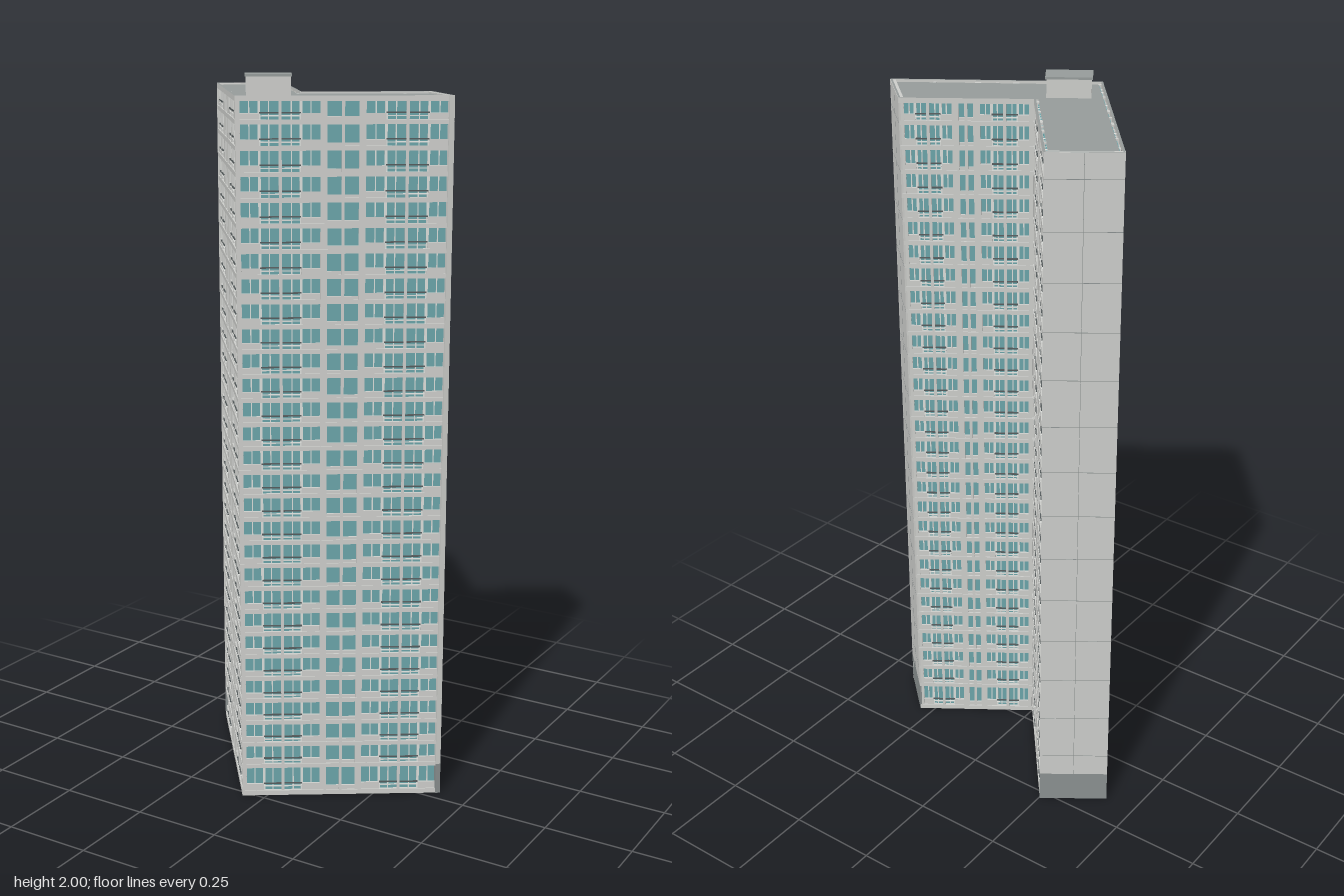
import * as THREE from 'three';
import { mergeGeometries } from 'three/addons/utils/BufferGeometryUtils.js';

const material = (name, color) => {
  const m = new THREE.MeshStandardMaterial({ color });
  m.name = name;
  return m;
};

// Plan corners [x, z], walked so the outside is always on the same hand
const PLAN = [[-0.41, -0.165], [-0.06, 0.27], [0.41, -0.035], [0.288, -0.15], [0, 0.042], [-0.252, -0.275]];
const GROUND = 0.09, FLOORS = 28, TOP = 1.95, DEPTH = 0.012;
const PITCH = (TOP - GROUND) / FLOORS;

// Moves every wall of the plan inward by d
function inset(d) {
  const n = PLAN.length;
  const normal = (i) => {
    const [a, b] = [PLAN[i % n], PLAN[(i + 1) % n]];
    return new THREE.Vector2(b[1] - a[1], a[0] - b[0]).normalize();
  };
  return PLAN.map(([x, z], i) => {
    const p = normal(i + n - 1), q = normal(i);
    const k = d / (1 + p.dot(q));
    return [x + (p.x + q.x) * k, z + (p.y + q.y) * k];
  });
}

function prism(plan, y0, y1, hole) {
  const points = (list) => list.map(([x, z]) => new THREE.Vector2(x, -z));
  const shape = new THREE.Shape(points(plan));
  if (hole) shape.holes.push(new THREE.Path(points(hole)));
  const g = new THREE.ExtrudeGeometry(shape, { depth: y1 - y0, bevelEnabled: false });
  return g.rotateX(-Math.PI / 2).translate(0, y0, 0);
}

// Box given by its limits on each axis
const block = (x0, x1, y0, y1, z0, z1) =>
  new THREE.BoxGeometry(x1 - x0, y1 - y0, z1 - z0).translate((x0 + x1) / 2, (y0 + y1) / 2, (z0 + z1) / 2);

export function createModel() {
  const concrete = material('concrete', 0xcdcecb);
  const frame = material('window frame', 0xdcdedb);
  const glass = material('teal glass', 0x6ba5aa);
  const roofGrey = material('roof grey', 0x969c9b);
  const baseGrey = material('base grey', 0x8b9191);
  const dark = material('dark metal', 0x565d5e);

  const model = new THREE.Group();
  model.name = 'apartmentTower';
  const add = (parent, name, geometry, mat) => {
    const mesh = new THREE.Mesh(Array.isArray(geometry) ? mergeGeometries(geometry) : geometry, mat);
    mesh.name = name;
    parent.add(mesh);
  };

  // Core, floor slabs and roof rim
  add(model, 'core', prism(inset(DEPTH), 0, TOP - 0.005, null), [roofGrey, concrete]);
  const slabs = [prism(PLAN, 0, 0.014)];
  for (let i = 0; i < FLOORS; i++) {
    const y = GROUND + i * PITCH;
    slabs.push(prism(PLAN, y - 0.006, y + 0.006));
  }
  add(model, 'floorSlabs', slabs, concrete);
  add(model, 'roofRim', prism(PLAN, TOP - 0.014, TOP, inset(0.005)), [roofGrey, concrete]);

  // Group whose x runs along one wall and whose z points outward
  function wall(i, name) {
    const [a, b] = [PLAN[i], PLAN[(i + 1) % PLAN.length]];
    const g = new THREE.Group();
    g.name = name;
    g.position.set(a[0], 0, a[1]);
    g.rotation.y = Math.atan2(a[1] - b[1], b[0] - a[0]);
    model.add(g);
    return [g, Math.hypot(b[0] - a[0], b[1] - a[1])];
  }

  // Windowed long wall: two balcony bays either side of a stair column
  function facade(index, name) {
    const [g, L] = wall(index, name);
    const back = -DEPTH - 0.001;
    const s0 = 0.39 * L, s1 = 0.6 * L, mid = (s0 + s1) / 2;
    add(g, 'glazing', block(DEPTH, L - DEPTH, 0.01, TOP - 0.01, back, -0.009), glass);

    const piers = [], posts = [], panels = [], rails = [];
    const pier = (x, w) => piers.push(block(x - w / 2, x + w / 2, 0, TOP - 0.005, back, -0.001));
    pier(0.007, 0.011);
    pier(L - 0.007, 0.011);
    pier(s0 + 0.009, 0.018);
    pier(s1 - 0.009, 0.018);
    pier(mid, 0.008);

    // Every bay holds two mirrored modules, each half window and half balcony
    const modules = [];
    for (const [x0, x1] of [[0.012, s0], [s1, L - 0.012]]) {
      const m = (x0 + x1) / 2;
      pier(m, 0.008);
      modules.push([x0, m - 0.004, 1], [x1, m + 0.004, -1]);
    }
    for (const [outer, inner] of modules) {
      const at = (t) => outer + (inner - outer) * t;
      for (const t of [0.24, 0.5, 0.75]) {
        const w = t === 0.5 ? 0.0035 : 0.0015;
        posts.push(block(at(t) - w, at(t) + w, 0, TOP - 0.01, back, -0.005));
      }
    }
    for (let f = 0; f <= FLOORS; f++) {
      const y = f ? GROUND + (f - 1) * PITCH : 0.012;
      for (const [outer, inner] of modules) {
        const half = (outer + inner) / 2;
        const [a0, a1] = [Math.min(outer, half), Math.max(outer, half)];
        const [b0, b1] = [Math.min(inner, half), Math.max(inner, half)];
        panels.push(block(a0, a1, y, y + 0.022, back, -0.003));
        rails.push(block(b0, b1, y + 0.022, y + 0.0255, -0.004, -0.001));
        posts.push(block(b0, b1, y + 0.014, y + 0.017, -0.004, -0.001));
      }
      panels.push(block(s0, s1, y, y + 0.014, back, -0.004));
    }
    add(g, 'piers', piers, concrete);
    add(g, 'spandrels', panels, concrete);
    add(g, 'windowPosts', posts, frame);
    add(g, 'balconyRails', rails, dark);
  }

  // Blank end wall with a darker base and thin panel joints
  function endWall(index, name) {
    const [g, L] = wall(index, name);
    add(g, 'endPanel', block(0, L, GROUND, TOP - 0.001, -DEPTH - 0.001, 0.001), concrete);
    add(g, 'endBase', block(0, L, 0, GROUND, -DEPTH - 0.001, 0.001), baseGrey);
    const seams = [block(L / 2 - 0.0006, L / 2 + 0.0006, GROUND, TOP - 0.001, 0, 0.0014)];
    for (let f = 1; f < FLOORS; f += 2) {
      const y = GROUND + f * PITCH;
      seams.push(block(0, L, y - 0.0007, y + 0.0007, 0, 0.0014));
    }
    add(g, 'panelJoints', seams, baseGrey);
  }

  facade(0, 'leftWingFront');
  facade(1, 'rightWingFront');
  endWall(2, 'rightWingEnd');
  facade(3, 'rightWingBack');
  facade(4, 'leftWingBack');
  endWall(5, 'leftWingEnd');

  // Lift house on the roof
  const house = new THREE.Group();
  house.name = 'liftHouse';
  house.position.set(-0.042, TOP, 0.139);
  house.rotation.y = Math.atan2(0.065, 0.1);
  add(house, 'liftHouseWalls', block(-0.058, 0.058, -0.006, 0.044, -0.031, 0.031), concrete);
  add(house, 'liftHouseRoof', block(-0.061, 0.061, 0.044, 0.05, -0.033, 0.033), roofGrey);
  model.add(house);

  return model;
}
